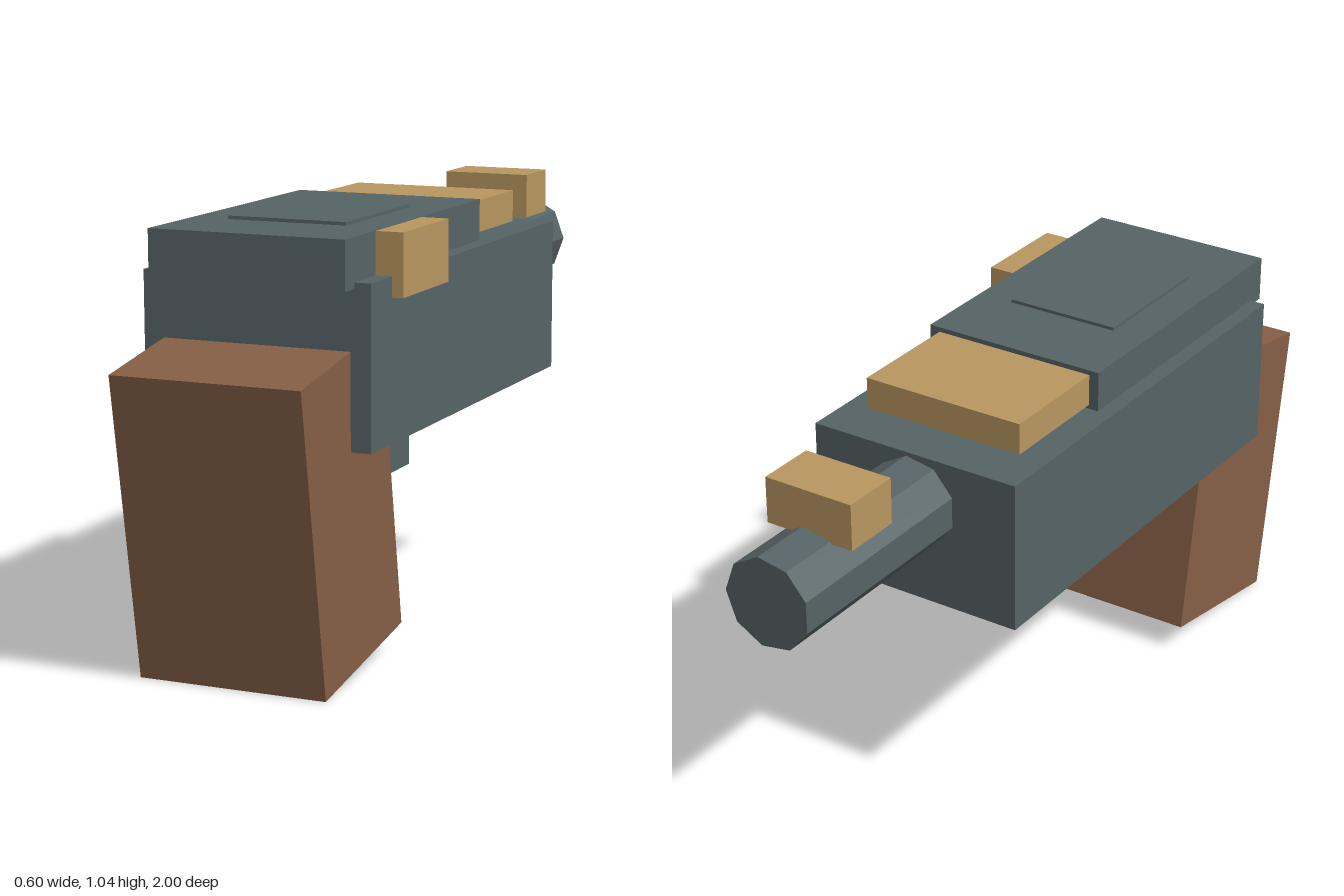
import * as THREE from 'three';

const mat = (name, color) => {
  const m = new THREE.MeshStandardMaterial({ color });
  m.name = name;
  return m;
};

export function createModel() {
  const model = new THREE.Group();
  model.name = 'toyPistol';
  const steel = mat('steel', 0x566366);
  const brass = mat('brass', 0xb8965f);
  const wood = mat('wood', 0x855f45);
  const midX = -0.015;

  const add = (name, geometry, material, x, y, z) => {
    const mesh = new THREE.Mesh(geometry, material);
    mesh.name = name;
    mesh.position.set(x, y, z);
    model.add(mesh);
    return mesh;
  };
  // Box given by its extents on each axis
  const block = (name, material, [x0, x1], [y0, y1], [z0, z1]) =>
    add(name, new THREE.BoxGeometry(x1 - x0, y1 - y0, z1 - z0), material,
      (x0 + x1) / 2, (y0 + y1) / 2, (z0 + z1) / 2);

  // Steel body, slide and the thin plate on top
  block('body', steel, [-0.30, 0.27], [0.548, 0.934], [-0.44, 0.74]);
  block('slide', steel, [-0.26, 0.23], [0.92, 1.036], [-0.017, 0.79]);
  block('topPlate', steel, [-0.167, 0.135], [1.03, 1.044], [0.203, 0.573]);
  block('trigger', steel, [-0.167, 0.135], [0.404, 0.56], [0.203, 0.573]);

  // Nine-sided barrel
  const barrel = new THREE.CylinderGeometry(0.116, 0.116, 0.58, 9, 1, false, Math.PI / 2);
  barrel.rotateX(Math.PI / 2);
  const barrelMesh = add('barrel', barrel.toNonIndexed(), steel, midX, 0.81, -0.71);
  barrelMesh.geometry.computeVertexNormals();

  // Brass fittings
  block('frontSight', brass, [-0.133, 0.103], [0.905, 1.021], [-0.84, -0.69]);
  block('chamberCover', brass, [-0.234, 0.202], [0.944, 1.024], [-0.322, -0.01]);
  block('sideLever', brass, [0.2, 0.298], [0.886, 1.035], [0.355, 0.623]);

  // Tilted wooden grip
  const grip = add('grip', new THREE.BoxGeometry(0.47, 0.74, 0.436), wood, midX, 0.405, 0.725);
  grip.rotation.x = 0.163;

  return model;
}
